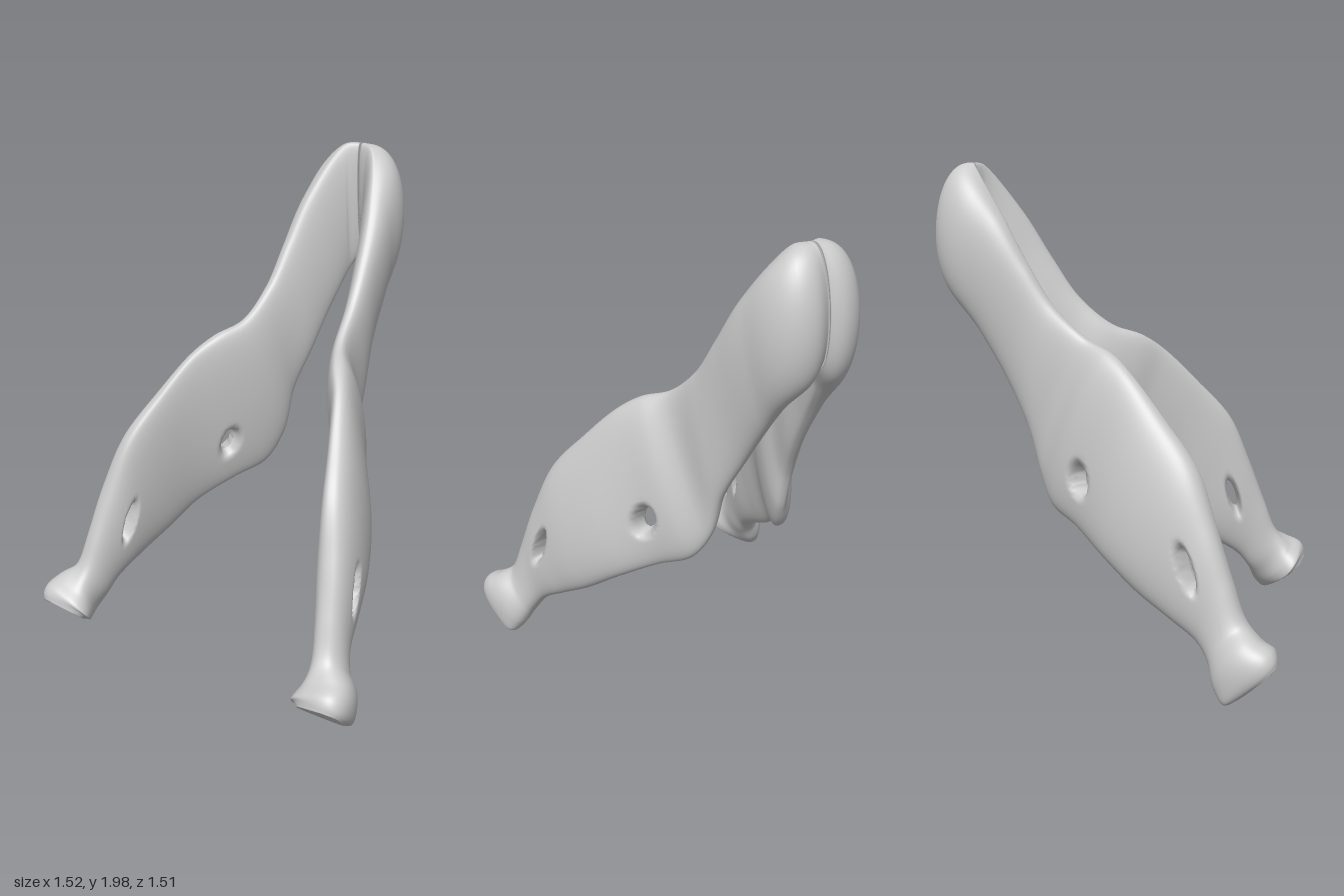
import * as THREE from 'three';

const V = (x, y, z) => new THREE.Vector3(x, y, z);

// Sections from the chin to the hinge knob: upper edge xyz, lower edge xyz,
// outer bulge, inner bulge, taper toward the lower edge
const SECTIONS = [
  [[0.003, 1.99, -0.61], [0.003, 1.52, -0.65], 0.09, 0.03, 0],
  [[0.07, 1.98, -0.585], [0.05, 1.42, -0.61], 0.15, 0.04, 0],
  [[0.16, 1.78, -0.44], [0.09, 1.27, -0.52], 0.10, 0.05, 0],
  [[0.195, 1.58, -0.32], [0.125, 1.08, -0.41], 0.07, 0.055, 0],
  [[0.21, 1.42, -0.21], [0.165, 0.91, -0.325], 0.06, 0.055, 0],
  [[0.24, 1.30, -0.07], [0.18, 0.72, -0.27], 0.055, 0.06, 0],
  [[0.30, 1.25, 0.05], [0.225, 0.60, -0.20], 0.09, 0.06, 0],
  [[0.36, 1.18, 0.14], [0.31, 0.54, -0.08], 0.085, 0.05, 0],
  [[0.43, 1.03, 0.28], [0.42, 0.45, 0.06], 0.095, 0.05, 0],
  [[0.50, 0.86, 0.42], [0.485, 0.35, 0.20], 0.10, 0.06, 0],
  [[0.555, 0.66, 0.50], [0.54, 0.27, 0.34], 0.08, 0.075, 0],
  [[0.59, 0.45, 0.575], [0.575, 0.20, 0.45], 0.07, 0.065, 0],
  [[0.61, 0.31, 0.63], [0.61, 0.13, 0.50], 0.075, 0.07, 0],
  [[0.625, 0.25, 0.69], [0.67, 0.055, 0.525], 0.10, 0.10, 0.3],
  [[0.63, 0.215, 0.745], [0.70, 0.01, 0.565], 0.10, 0.115, 0.5],
  [[0.64, 0.17, 0.758], [0.69, 0.03, 0.61], 0.08, 0.09, 0.5],
];

// Openings through the plate: centre z, y, half width, half height, lean
const HOLES = [
  { z: -0.03, y: 0.745, a: 0.028, b: 0.05, lean: 0.15 },
  { z: 0.425, y: 0.49, a: 0.018, b: 0.068, lean: 0.3 },
];

const STEPS = 200, RING = 96;

// Pushes a point out of the openings; reports how thick the plate is there
function carve(p) {
  let thick = 1, inside = false;
  for (const h of HOLES) {
    const c = Math.cos(h.lean), s = Math.sin(h.lean);
    const dz = p.z - h.z, dy = p.y - h.y;
    let a = (dz * c + dy * s) / h.a, b = (dy * c - dz * s) / h.b;
    const r = Math.hypot(a, b) || 1e-6;
    if (r < 1) {
      inside = true;
      a /= r;
      b /= r;
      p.z = h.z + a * h.a * c - b * h.b * s;
      p.y = h.y + a * h.a * s + b * h.b * c;
    }
    const k = THREE.MathUtils.clamp((r - 1) / 0.8, 0, 1);
    thick = Math.min(thick, Math.sqrt(k * (2 - k)));
  }
  return { thick, inside };
}

function jawHalf(side) {
  const upper = new THREE.CatmullRomCurve3(SECTIONS.map(s => V(...s[0])));
  const lower = new THREE.CatmullRomCurve3(SECTIONS.map(s => V(...s[1])));
  const bulge = new THREE.CatmullRomCurve3(SECTIONS.map(s => V(s[2], s[3], s[4])), false, 'catmullrom', 0.5);
  const mid = t => upper.getPoint(t).add(lower.getPoint(t)).multiplyScalar(0.5);
  const pos = [], idx = [], cut = [];

  // Flattened rings along the bone
  for (let i = 0; i <= STEPS; i++) {
    const t = i / STEPS, A = upper.getPoint(t), B = lower.getPoint(t), w = bulge.getPoint(t);
    const along = mid(Math.min(1, t + 0.02)).sub(mid(Math.max(0, t - 0.02)));
    const n = along.cross(B.clone().sub(A)).normalize();
    // the chin ends square on the mid plane
    n.x *= THREE.MathUtils.smoothstep(t, 0, 0.12);
    n.normalize();
    for (let j = 0; j < RING; j++) {
      const ang = j / RING * Math.PI * 2, s = Math.sin(ang), c = Math.cos(ang);
      const p = A.clone().lerp(B, (1 - c) / 2);
      const { thick, inside } = carve(p);
      const off = Math.pow(Math.abs(s), 0.8) * thick * (1 + w.z * c) * (s > 0 ? w.x : -w.y);
      p.addScaledVector(n, off);
      pos.push(side * Math.max(0.001, p.x), Math.max(0, p.y), p.z);
      cut.push(inside);
    }
  }

  const tri = (a, b, c) => {
    if (cut[a] && cut[b] && cut[c]) return;
    idx.push(a, ...(side > 0 ? [b, c] : [c, b]));
  };
  for (let i = 0; i < STEPS; i++) {
    for (let j = 0; j < RING; j++) {
      const k = (j + 1) % RING;
      const a = i * RING + j, b = a + RING, c = i * RING + k, d = c + RING;
      tri(a, b, c);
      tri(b, d, c);
    }
  }

  // End caps at the chin and at the knob
  for (const end of [0, 1]) {
    const m = mid(end), centre = pos.length / 3, base = end * STEPS * RING;
    pos.push(side * m.x, m.y, m.z);
    cut.push(false);
    for (let j = 0; j < RING; j++) {
      const a = base + j, b = base + (j + 1) % RING;
      if (end) tri(centre, a, b);
      else tri(centre, b, a);
    }
  }

  const g = new THREE.BufferGeometry();
  g.setAttribute('position', new THREE.Float32BufferAttribute(pos, 3));
  g.setIndex(idx);
  g.computeVertexNormals();
  return g;
}

export function createModel() {
  const group = new THREE.Group();
  group.name = 'lowerJaw';
  const bone = new THREE.MeshStandardMaterial({ color: 0xcccccc, side: THREE.DoubleSide });
  for (const [name, side] of [['leftJawBone', 1], ['rightJawBone', -1]]) {
    const mesh = new THREE.Mesh(jawHalf(side), bone);
    mesh.name = name;
    group.add(mesh);
  }
  return group;
}
